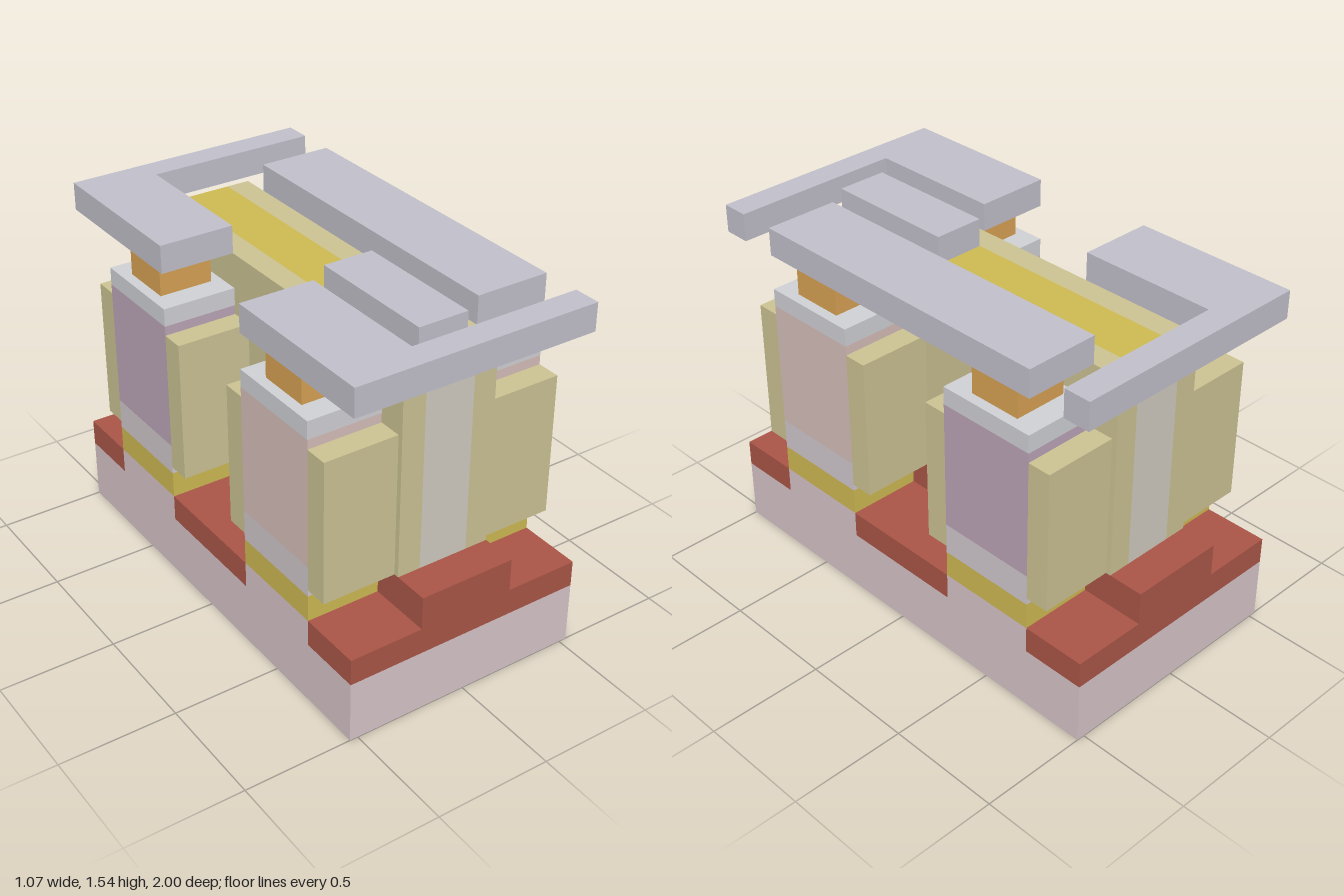
import * as THREE from 'three';

const W = 0.535, IN = 0.212; // outer half width, half width of the central wall

const COLORS = {
  substrate: 0xd8c5c9, insulation: 0xab5648, doped: 0xcfba52, gate: 0xccc394,
  core: 0xd1ccc0, channelA: 0xd7bfba, channelB: 0xbca5b8, spacer: 0xd2c8cd,
  cap: 0xd1d2d6, contact: 0xd8a254, metal: 0xc2c0ca,
};

export function createModel() {
  const model = new THREE.Group();
  const mats = {};
  for (const key in COLORS) {
    mats[key] = new THREE.MeshStandardMaterial({ color: COLORS[key], flatShading: true });
  }

  // Axis-aligned block given by its limits on x, y and z
  function block(name, mat, [x0, x1], [y0, y1], [z0, z1], parent = model) {
    const mesh = new THREE.Mesh(new THREE.BoxGeometry(x1 - x0, y1 - y0, z1 - z0), mats[mat]);
    mesh.position.set((x0 + x1) / 2, (y0 + y1) / 2, (z0 + z1) / 2);
    mesh.name = name;
    parent.add(mesh);
    return mesh;
  }

  // Base slab and raised central insulation
  block('baseSlab', 'substrate', [-W, W], [0, 0.27], [-1, 1]);
  block('centralInsulation', 'insulation', [-IN, IN], [0.27, 0.53], [-1, 1]);

  // Central wall: two side rails around a layered core
  for (const s of [-1, 1]) {
    const x = s < 0 ? [-IN, -0.11] : [0.11, IN];
    block('wallRail', 'gate', x, [0.53, 1.42], [-0.845, 0.845]);
  }
  block('wallCore', 'core', [-0.11, 0.11], [0.53, 1.335], [-0.845, 0.845]);
  block('wallCoreTop', 'doped', [-0.11, 0.11], [1.335, 1.42], [-0.845, 0.845]);

  for (const side of [-1, 1]) {
    const xs = (a, b) => (side < 0 ? [-b, -a] : [a, b]);
    const x = xs(IN, W);

    // Low insulation between the pillars
    for (const z of [[-1, -0.72], [-0.28, 0.28], [0.72, 1]]) {
      block('sideInsulation', 'insulation', x, [0.27, 0.385], z);
    }

    // Layered pillars with a gate slab on either face and a contact on top
    for (const end of [-1, 1]) {
      const zs = (a, b) => (end < 0 ? [-b, -a] : [a, b]);
      const pillar = new THREE.Group();
      pillar.name = 'pillar';
      model.add(pillar);
      const layers = [
        ['pillarFoot', 'substrate', 0.27, 0.385],
        ['lowerDopedLayer', 'doped', 0.385, 0.5],
        ['lowerSpacer', 'spacer', 0.5, 0.635],
        ['channel', end > 0 ? 'channelA' : 'channelB', 0.635, 1.19],
        ['pillarCap', 'cap', 1.19, 1.267],
      ];
      for (const [name, mat, y0, y1] of layers) {
        block(name, mat, x, [y0, y1], zs(0.28, 0.72), pillar);
      }
      block('innerGateSlab', 'gate', x, [0.53, 1.15], zs(0.178, 0.28), pillar);
      block('outerGateSlab', 'gate', x, [0.53, 1.15], zs(0.72, 0.823), pillar);
      block('contact', 'contact', xs(0.257, 0.49), [1.267, 1.42], zs(0.384, 0.618), pillar);
    }
  }

  // Top conductors: an L-shaped plate at each end, a side bar and a short central bar
  const top = [1.42, 1.54];
  const L = new THREE.Shape([
    [-W, 1], [-W, 0.283], [-IN, 0.283], [-IN, 0.883], [W, 0.883], [W, 1],
  ].map(([x, z]) => new THREE.Vector2(x, z)));
  const mirrored = new THREE.Shape(L.getPoints().map((p) => new THREE.Vector2(p.x, -p.y)));
  for (const [name, shape] of [['frontPlate', L], ['backPlate', mirrored]]) {
    const geo = new THREE.ExtrudeGeometry(shape, { depth: top[1] - top[0], bevelEnabled: false });
    geo.rotateX(Math.PI / 2); // shape y becomes z, depth goes down
    const plate = new THREE.Mesh(geo, mats.metal);
    plate.position.y = top[1];
    plate.name = name;
    model.add(plate);
  }
  block('sideBar', 'metal', [IN, W], top, [-0.72, 0.72]);
  block('centralBar', 'metal', [-0.11, 0.11], top, [0.203, 0.79]);

  return model;
}
